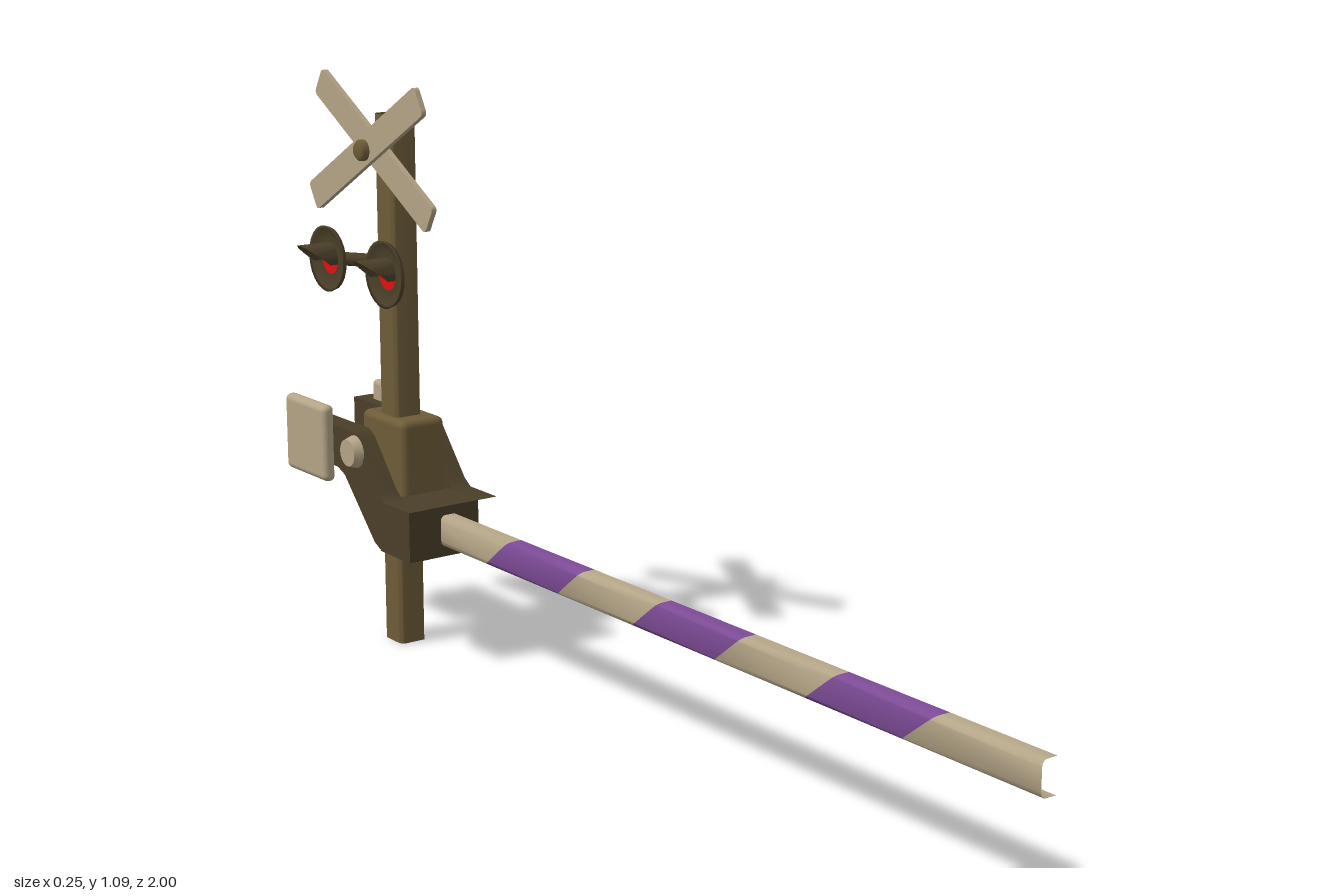
import * as THREE from 'three';
import { toCreasedNormals } from 'three/addons/utils/BufferGeometryUtils.js';
import { RoundedBoxGeometry } from 'three/addons/geometries/RoundedBoxGeometry.js';

const mat = (color) => new THREE.MeshStandardMaterial({ color, side: THREE.DoubleSide });
const POST_Z = -0.731;

// Surface through rows of [x, y, z] points
function loft(rows) {
  const n = rows[0].length, index = [];
  for (let i = 0; i < rows.length - 1; i++)
    for (let j = 0; j < n - 1; j++) {
      const a = i * n + j, b = a + n;
      index.push(a, b, a + 1, b, b + 1, a + 1);
    }
  const g = new THREE.BufferGeometry();
  g.setAttribute('position', new THREE.Float32BufferAttribute(rows.flat(2), 3));
  g.setIndex(index);
  return toCreasedNormals(g, 0.9);
}

// Rounded channel section, open towards +x: [x, offset] pairs
function channel(x0, x1, half, r) {
  const pts = [[x1, half]];
  for (const [cy, start] of [[half - r, Math.PI / 2], [r - half, Math.PI]])
    for (let i = 0; i <= 4; i++) {
      const a = start + (i / 4) * Math.PI / 2;
      pts.push([x0 + r + r * Math.cos(a), cy + r * Math.sin(a)]);
    }
  pts.push([x1, -half]);
  return pts;
}

export function createModel() {
  const model = new THREE.Group();
  const tan = mat(0xb3a486), brown = mat(0x6e5c38), dark = mat(0x4a3f28);
  const purple = mat(0x7b4a94), red = mat(0xe01010);
  const add = (name, geometry, material, parent = model) => {
    const m = new THREE.Mesh(geometry, material);
    m.name = name;
    parent.add(m);
    return m;
  };

  // Post: tall open channel
  const postSection = channel(-0.003, 0.048, 0.032, 0.012);
  add('post', loft([0, 1.02].map((y) => postSection.map(([x, z]) => [x, y, POST_Z + z]))), brown);

  // Boom: striped channel with slanted colour joints
  const boomSection = channel(0, 0.03, 0.03, 0.01);
  const joints = [1, 0.78, 0.556, 0.33, 0.107, -0.112, -0.337, -0.6];
  const boom = new THREE.Group();
  boom.name = 'boom';
  model.add(boom);
  const boomRow = (i) => boomSection.map(([x, y]) => {
    const slant = i === 0 || i === joints.length - 1 ? 0 : 0.075 * (0.03 - y) / 0.06;
    return [x, 0.26 + y, joints[i] - slant];
  });
  for (let i = 0; i < joints.length - 1; i++)
    add('boomStripe' + (i + 1), loft([boomRow(i), boomRow(i + 1)]), i % 2 ? purple : tan, boom);

  // Drive housing around the post
  add('driveHousing', new RoundedBoxGeometry(0.095, 0.21, 0.15, 3, 0.014), brown)
    .position.set(0.031, 0.345, -0.733);

  // Yoke arms: cranked channels either side of the post, as [z, y]
  const top = [[-0.556, 0.307], [-0.645, 0.307], [-0.665, 0.32], [-0.74, 0.41], [-0.76, 0.422], [-1, 0.422]];
  const bottom = [[-1, 0.342], [-0.81, 0.342], [-0.785, 0.332], [-0.68, 0.222], [-0.655, 0.21], [-0.556, 0.21]];
  const webShape = new THREE.Shape([...top, ...bottom].map(([z, y]) => new THREE.Vector2(z, y)));
  const yoke = new THREE.Group();
  yoke.name = 'yoke';
  model.add(yoke);
  for (const [side, x0, x1] of [['left', 0.083, 0.125], ['right', -0.07, -0.028]]) {
    add(side + 'ArmWeb', new THREE.ShapeGeometry(webShape).rotateY(-Math.PI / 2).translate(x0, 0, 0), dark, yoke);
    for (const [edge, line] of [['Top', top], ['Bottom', bottom]])
      add(side + 'Arm' + edge + 'Flange', loft([x0, x1].map((x) => line.map(([z, y]) => [x, y, z]))), dark, yoke);
  }
  // Crosspiece joining the arms: front wall with top and bottom plates
  add('yokeFront', loft([0.21, 0.307].map((y) => [-0.07, 0.083].map((x) => [x, y, -0.557]))), dark, yoke);
  const plate = new THREE.Shape();
  plate.moveTo(-0.07, 0.66);
  plate.lineTo(-0.07, 0.557);
  plate.lineTo(0.1, 0.557);
  plate.quadraticCurveTo(0.125, 0.557, 0.125, 0.58);
  plate.lineTo(0.125, 0.66);
  for (const y of [0.21, 0.307])
    add('yokePlate', new THREE.ShapeGeometry(plate).rotateX(-Math.PI / 2).translate(0, y, 0), dark, yoke);

  // Counterweights: rounded plates on the arm tails, outer one bulging to -x
  const weight = (name, x, depth, bulge) => {
    const g = new RoundedBoxGeometry(depth, 0.15, 0.15, 4, depth * 0.45);
    const p = g.attributes.position;
    for (let i = 0; i < p.count; i++)
      p.setX(i, p.getX(i) - bulge * (1 - Math.abs(p.getY(i)) / 0.075));
    g.computeVertexNormals();
    add(name, g, tan).position.set(x, 0.386, -0.893);
  };
  weight('leftCounterweight', 0.115, 0.02, 0);
  weight('rightCounterweight', -0.08, 0.025, 0.008);

  // Pivot boss on the right arm
  add('pivotBoss', new THREE.CylinderGeometry(0.026, 0.032, 0.018, 20).rotateZ(Math.PI / 2), tan)
    .position.set(-0.078, 0.385, -0.745);

  // Crossed boards, with rounded corners
  const board = new THREE.Shape();
  const L = 0.219, W = 0.028, r = 0.01;
  board.moveTo(-L + r, -W);
  board.lineTo(L - r, -W);
  board.quadraticCurveTo(L, -W, L, -W + r);
  board.lineTo(L, W - r);
  board.quadraticCurveTo(L, W, L - r, W);
  board.lineTo(-L + r, W);
  board.quadraticCurveTo(-L, W, -L, W - r);
  board.lineTo(-L, -W + r);
  board.quadraticCurveTo(-L, -W, -L + r, -W);
  for (const [x, tilt] of [[-0.033, 1], [-0.015, -1]]) {
    const g = new THREE.ExtrudeGeometry(board, { depth: 0.01, bevelEnabled: false });
    g.rotateZ(tilt * Math.PI / 6).rotateY(-Math.PI / 2);
    add('crossBoard', g, tan).position.set(x, 0.958, POST_Z);
  }
  add('boardMount', new THREE.CylinderGeometry(0.018, 0.018, 0.045, 16).rotateZ(Math.PI / 2), brown)
    .position.set(-0.02, 0.958, POST_Z);
  const bolt = [[0, 0.058], [0.014, 0.058], [0.02, 0.052], [0.02, 0.04]].map(([a, b]) => new THREE.Vector2(a, b));
  add('boardBolt', new THREE.LatheGeometry(bolt, 16).rotateZ(Math.PI / 2), brown).position.set(0, 0.958, POST_Z);

  // Warning lamps: dished backing, lens, hood and a slanting support arm
  const dish = [[0.03, 0.055], [0.048, 0.055], [0.06, 0.061], [0.063, 0.07], [0.057, 0.067], [0.045, 0.062], [0.03, 0.062]];
  for (const s of [-1, 1]) {
    const lamp = new THREE.Group();
    lamp.name = s > 0 ? 'frontLamp' : 'rearLamp';
    lamp.position.set(0, 0.743, POST_Z + s * 0.102);
    model.add(lamp);
    add('backing', new THREE.LatheGeometry(dish.map(([a, b]) => new THREE.Vector2(a, b)), 24).rotateZ(Math.PI / 2), dark, lamp);
    add('lens', new THREE.CircleGeometry(0.031, 20).rotateY(-Math.PI / 2), red, lamp).position.x = -0.06;
    const arc = (len) => Array.from({ length: 13 }, (_, i) => {
      const a = -0.25 + (i / 12) * (Math.PI + 0.5);
      return [-0.06 - len(Math.sin(a)), 0.031 * Math.sin(a), 0.031 * Math.cos(a)];
    });
    add('hood', loft([arc(() => 0), arc((h) => 0.028 + 0.04 * h)]), dark, lamp);
    const path = new THREE.LineCurve3(new THREE.Vector3(0.012, 0, -s * 0.102), new THREE.Vector3(-0.057, 0, 0));
    add('supportArm', new THREE.TubeGeometry(path, 1, 0.013, 10), dark, lamp);
  }
  return model;
}
